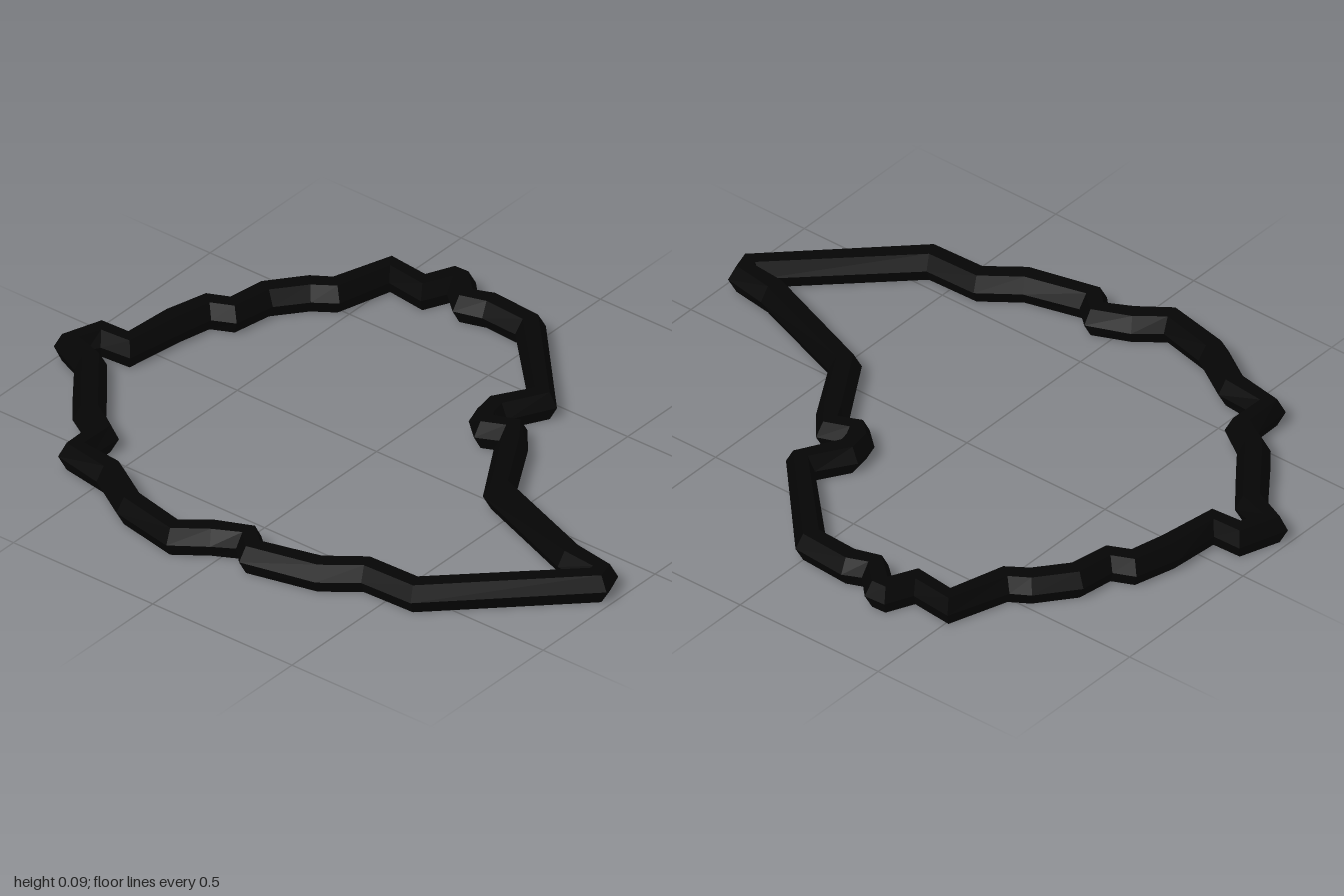
import * as THREE from 'three';

// Centre line of the outline as [x, z], clockwise from the back
const PATH = [
  [-.01, -.70], [.25, -.43], [.18, -.31], [.19, -.25], [.22, -.22],
  [.29, -.25], [.33, -.19], [.45, .01], [.82, .15], [.94, .165],
  [.95, .20], [.585, .555], [.415, .56], [.31, .64], [.11, .69],
  [.055, .64], [-.04, .685], [-.125, .75], [-.31, .71], [-.455, .62],
  [-.60, .60], [-.60, .48], [-.69, .425], [-.745, .355], [-.85, .22],
  [-.955, .18], [-.92, .085], [-.825, .08], [-.805, -.09], [-.775, -.21],
  [-.71, -.24], [-.69, -.36], [-.61, -.46], [-.55, -.50], [-.495, -.68],
  [-.365, -.665], [-.325, -.75], [-.30, -.75], [-.23, -.685], [-.16, -.71],
].map(([x, z]) => new THREE.Vector2(x, z));

const SIDES = 6;
const RADIUS = 0.048;
const HALF_HEIGHT = 0.045;

// Closed hexagonal tube: one ring per path point, set square to the mean direction
function closedTube(path) {
  const count = path.length;
  const positions = [];
  const indices = [];
  path.forEach((p, i) => {
    const before = path[(i + count - 1) % count];
    const after = path[(i + 1) % count];
    const tangent = p.clone().sub(before).normalize()
      .add(after.clone().sub(p).normalize()).normalize();
    for (let j = 0; j < SIDES; j++) {
      const angle = (j / SIDES) * Math.PI * 2;
      const out = Math.cos(angle) * RADIUS;
      const up = Math.sin(angle) / Math.sin(Math.PI / 3) * HALF_HEIGHT;
      positions.push(p.x + tangent.y * out, HALF_HEIGHT + up, p.y - tangent.x * out);

      const k = (j + 1) % SIDES;
      const ring = i * SIDES;
      const next = ((i + 1) % count) * SIDES;
      indices.push(ring + j, ring + k, next + j, next + j, ring + k, next + k);
    }
  });
  const geometry = new THREE.BufferGeometry();
  geometry.setAttribute('position', new THREE.Float32BufferAttribute(positions, 3));
  geometry.setIndex(indices);
  const flat = geometry.toNonIndexed();
  flat.computeVertexNormals();
  return flat;
}

export function createModel() {
  const group = new THREE.Group();
  group.name = 'borderOutline';
  const material = new THREE.MeshStandardMaterial({ color: 0x050505, flatShading: true });
  const border = new THREE.Mesh(closedTube(PATH), material);
  border.name = 'borderTube';
  group.add(border);
  return group;
}
